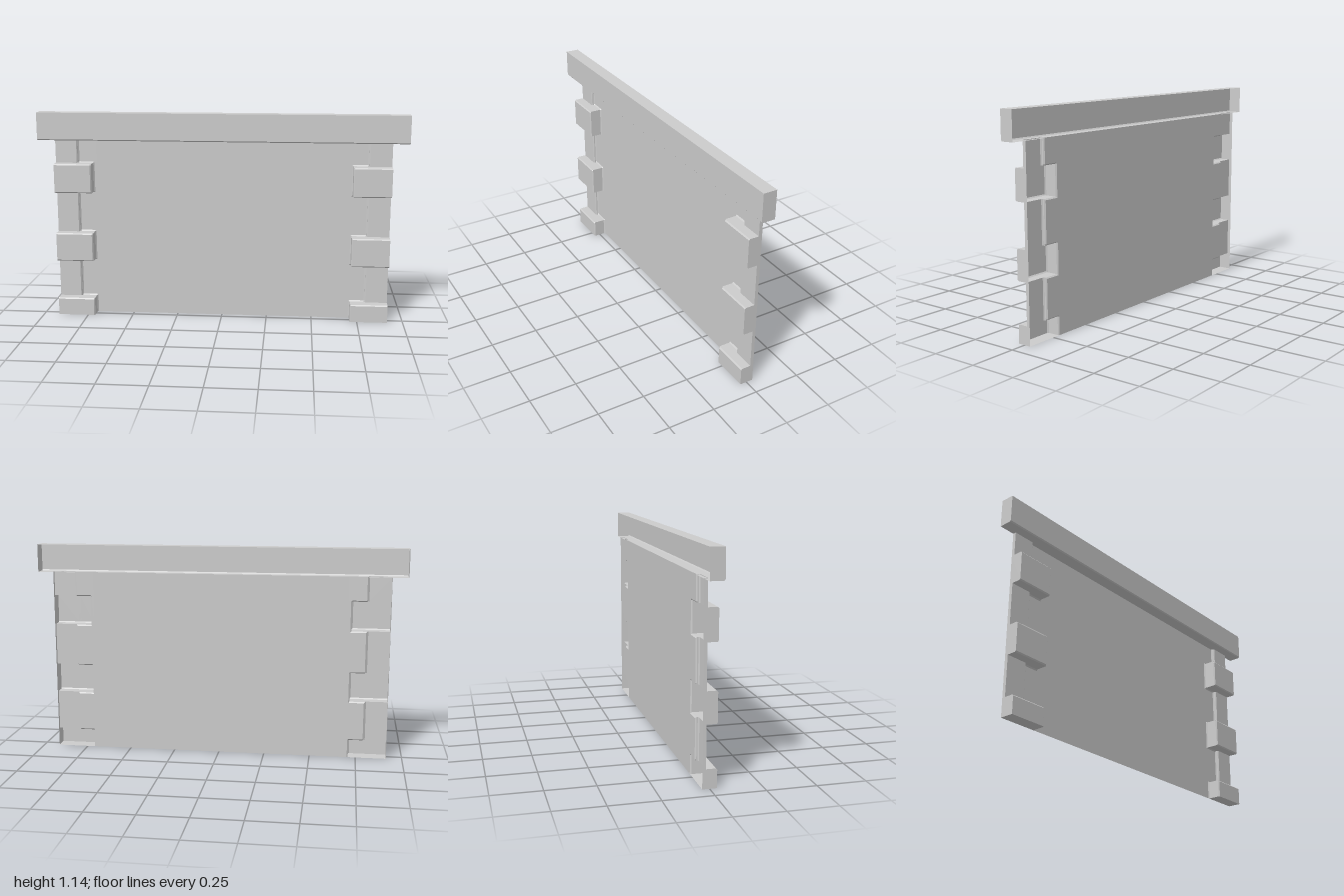
import * as THREE from 'three';

const BACK = -0.036, DEPTH = 0.072, COLUMN = 0.018; // relief heights above the back plane
const E = 0.006, TINY = 1e-5;                       // edge bevel, wall thickness in the grid
const material = new THREE.MeshStandardMaterial({ color: 0xcccccc, flatShading: true, side: THREE.DoubleSide });

// Bevelled step: 0 outside, h inside, d is the distance into the raised side
const step = (d, h) => d <= -E ? 0 : d < 0 ? E + d : Math.min(h, h - E + d);
const band = (v, [a, b], h) => Math.min(step(v - a, h), step(b - v, h));

// Grid lines around a step, and around a plain outer edge
const stepLines = v => [v - E, v - TINY, v + TINY, v + E];
const edgeLines = (v, inward) => [v, v + inward * TINY];

// Thin pressed sheet, open at the back, from a height rule over a grid
function relief(name, xs, ys, height) {
  xs.sort((a, b) => a - b);
  ys.sort((a, b) => a - b);
  const pos = [];
  const point = (i, j) => new THREE.Vector3(xs[i], ys[j], BACK + height(xs[i], ys[j]));
  const tri = (a, b, c) => {
    const n = b.clone().sub(a).cross(c.clone().sub(a));
    if (n.length() > 1e-9) for (const p of [a, b, c]) pos.push(p.x, p.y, p.z);
  };
  for (let i = 0; i < xs.length - 1; i++) {
    for (let j = 0; j < ys.length - 1; j++) {
      const a = point(i, j), b = point(i + 1, j), c = point(i + 1, j + 1), d = point(i, j + 1);
      tri(a, b, c);
      tri(a, c, d);
    }
  }
  const geometry = new THREE.BufferGeometry();
  geometry.setAttribute('position', new THREE.Float32BufferAttribute(pos, 3));
  geometry.computeVertexNormals();
  const mesh = new THREE.Mesh(geometry, material);
  mesh.name = name;
  return mesh;
}

export function createModel() {
  const group = new THREE.Group();
  group.name = 'wallPanel';
  const seam = 0.69, side = 0.915, wallTop = 0.99, top = 1.137;

  // Flat wall sheet
  group.add(relief('wallSheet', [-seam, seam], [0, wallTop], () => 0));

  // Corner strips: a shallow column with three projecting corner blocks
  const blocks = [[-1, 0.097], [0.312, 0.47], [0.697, 0.857]];
  const columnX = 0.793, blockX = 0.71;
  const cornerHeight = (x, y) => {
    if (x >= side) return 0;
    let h = step(x - columnX, COLUMN);
    for (const b of blocks) h = Math.max(h, Math.min(step(x - blockX, DEPTH), band(y, b, DEPTH)));
    return y <= 0 ? 0 : h;
  };
  for (const s of [1, -1]) {
    const strip = relief(s > 0 ? 'leftCornerBlocks' : 'rightCornerBlocks',
      [seam, ...stepLines(blockX), ...stepLines(columnX), ...edgeLines(side, -1)],
      [...edgeLines(0, 1), ...blocks.flat().filter(y => y > 0).flatMap(stepLines), wallTop],
      cornerHeight);
    strip.scale.x = s;
    group.add(strip);
  }

  // Coping beam along the top, hollow from behind
  const capBottom = 0.987;
  group.add(relief('copingBeam',
    [...edgeLines(-1, 1), ...edgeLines(1, -1)],
    [...edgeLines(capBottom, 1), capBottom + E, ...edgeLines(top, -1)],
    (x, y) => Math.abs(x) >= 1 || y <= capBottom || y >= top ? 0 : step(y - capBottom, DEPTH)));

  return group;
}
